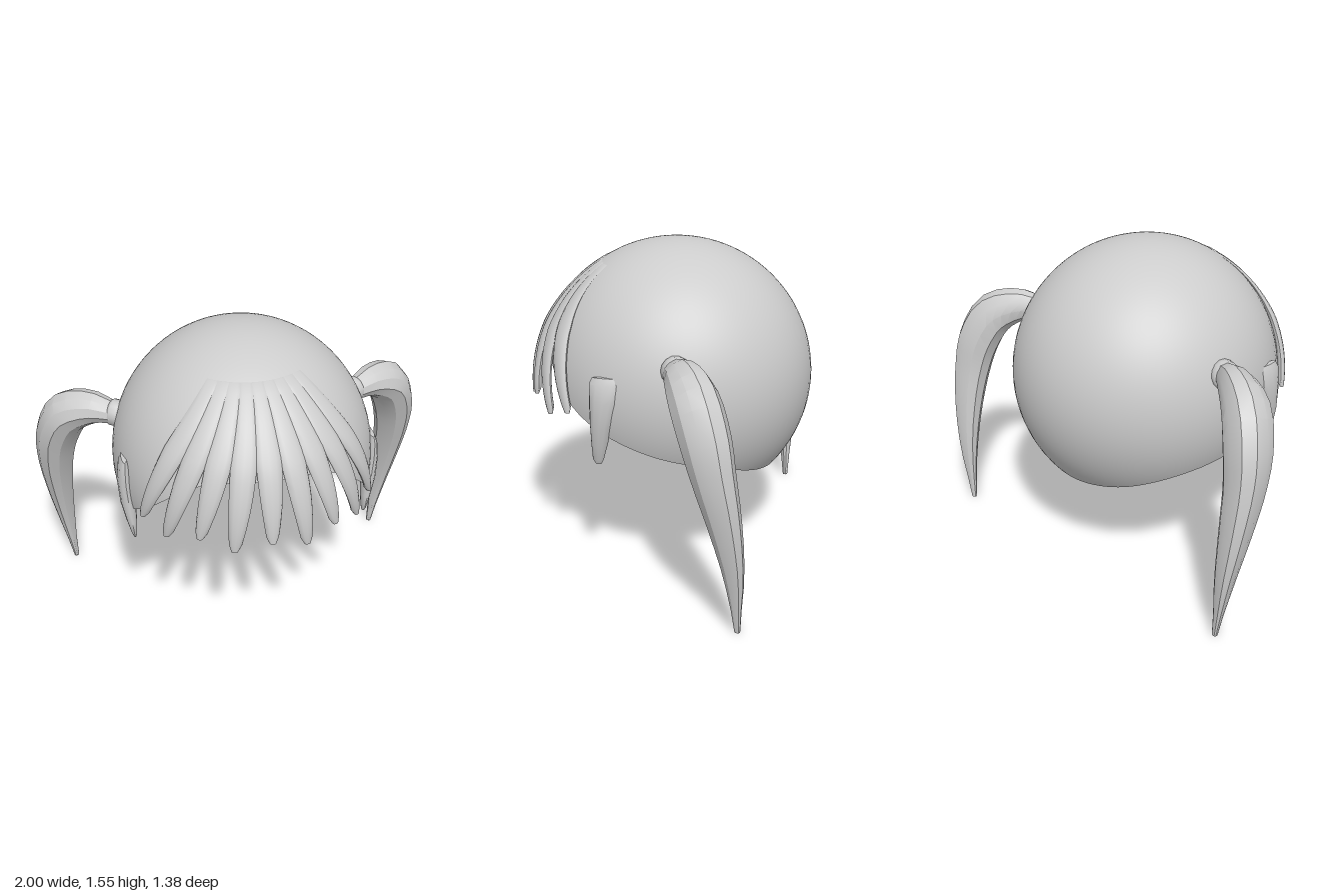
import * as THREE from 'three';
import { toCreasedNormals } from 'three/addons/utils/BufferGeometryUtils.js';

const hair = new THREE.MeshStandardMaterial({ color: 0xcccccc, side: THREE.DoubleSide });
hair.name = 'hairGrey';

const V = (x, y, z) => new THREE.Vector3(x, y, z);
const CY = 0.9, CZ = -0.025, RX = 0.632, RY = 0.65, RZ = 0.655;
const DEG = Math.PI / 180;

// Skin a list of rings, closing both ends with a fan
function loft(rings, crease) {
  const n = rings[0].length, pos = [], idx = [];
  rings.forEach(r => r.forEach(p => pos.push(p.x, p.y, p.z)));
  for (let i = 0; i < rings.length - 1; i++)
    for (let j = 0; j < n; j++) {
      const a = i * n + j, b = i * n + (j + 1) % n;
      idx.push(a, b, a + n, b, b + n, a + n);
    }
  const last = (rings.length - 1) * n;
  for (let j = 1; j < n - 1; j++) {
    idx.push(0, j + 1, j);
    idx.push(last, last + j, last + j + 1);
  }
  const g = new THREE.BufferGeometry();
  g.setAttribute('position', new THREE.Float32BufferAttribute(pos, 3));
  g.setIndex(idx);
  return toCreasedNormals(g, crease);
}

function add(parent, name, geometry) {
  const m = new THREE.Mesh(geometry, hair);
  m.name = name;
  parent.add(m);
  return m;
}

// Round cap whose lower rim rises towards the forehead
function capGeometry() {
  const rim = new THREE.SplineCurve(
    [1.1, 1.06, 0.82, 0.68, 0.6, 0.515, 0.48].map((y, i) => new THREE.Vector2(i, y)));
  const g = new THREE.SphereGeometry(1, 72, 40);
  const p = g.attributes.position, nor = g.attributes.normal;
  const cols = 73, rows = 41;
  for (let r = 0; r < rows; r++)
    for (let c = 0; c < cols; c++) {
      const i = r * cols + c, a = c / 72 * Math.PI * 2;
      const back = Math.min(a, Math.PI * 2 - a) / Math.PI;
      const th = r / 40 * Math.acos((rim.getPoint(back).y - CY) / RY);
      const x = Math.sin(th) * Math.sin(a), y = Math.cos(th), z = Math.sin(th) * Math.cos(a);
      p.setXYZ(i, x * RX, CY + y * RY, CZ + z * RZ);
      const n = V(x / RX, y / RY, z / RZ).normalize();
      nor.setXYZ(i, n.x, n.y, n.z);
    }
  // the last row is no longer a pole, so give it its missing triangles
  const idx = [];
  for (let r = 0; r < rows - 1; r++)
    for (let c = 0; c < 72; c++) {
      const a = r * cols + c, b = a + cols;
      if (r > 0) idx.push(a, b, a + 1);
      idx.push(b, b + 1, a + 1);
    }
  g.setIndex(idx);
  return g;
}

// One fringe lock, following the cap and flaring off it at the tip
function lockGeometry(i) {
  const top = 1.445, tip = i % 2 ? 0.785 : 0.83, rings = [];
  const flare = 0.045 * (1 - Math.abs(i) / 5);
  const rows = 20;
  for (let r = 0; r <= rows; r++) {
    const y = top + (tip - top) * r / rows;
    const t = (top - y) / 0.645;
    const step = 8.2 + 5.8 * t;
    const k = Math.max(0, (1.19 - y) / (1.19 - tip));
    const round = r === rows ? 0.6 : 1;
    const w = step * (k > 0 ? 0.54 * (1 - 0.73 * k) : 0.56) * round;
    const thick = (0.005 + 0.017 * Math.min(1, t * 2)) * (1 - 0.25 * k) * round;
    const out = 0.006 + 0.024 * Math.min(1, t * 2.2) + flare * t * t - thick;
    const ring = Math.sqrt(1 - ((y - CY) / RY) ** 2);
    rings.push(Array.from({ length: 12 }, (_, j) => {
      const q = j / 12 * Math.PI * 2;
      const a = (i * step + w * Math.cos(q)) * DEG;
      const o = out + thick * Math.sin(q);
      return V(Math.sin(a) * (RX * ring + o), y, CZ + Math.cos(a) * (RZ * ring + o));
    }));
  }
  return loft(rings, 0.8);
}

// Tapering lock in front of the ear: y, front z, back z, inner x, outer x
function sideburnGeometry() {
  const rows = [
    [1.03, 0.225, 0.105, 0.58, 0.605], [1.0, 0.24, 0.092, 0.57, 0.62],
    [0.92, 0.242, 0.105, 0.56, 0.632], [0.8, 0.242, 0.14, 0.552, 0.624],
    [0.7, 0.241, 0.167, 0.553, 0.602], [0.63, 0.238, 0.187, 0.558, 0.583],
    [0.607, 0.225, 0.2, 0.562, 0.574],
  ];
  return loft(rows.map(([y, zf, zb, xi, xo]) => Array.from({ length: 12 }, (_, j) => {
    const q = j / 12 * Math.PI * 2;
    return V((xi + xo) / 2 + (xo - xi) / 2 * Math.sin(q), y,
      (zf + zb) / 2 + (zf - zb) / 2 * Math.cos(q));
  })), 0.8);
}

// Drooping bunch of hair: x, y, z, radius
function bunchGeometry() {
  const pts = [
    [0.60, 1.085, -0.15, 0.055], [0.71, 1.09, -0.215, 0.085], [0.82, 1.035, -0.285, 0.108],
    [0.885, 0.9, -0.345, 0.108], [0.908, 0.75, -0.385, 0.094], [0.907, 0.55, -0.432, 0.074],
    [0.888, 0.3, -0.472, 0.046], [0.857, 0.005, -0.488, 0.013],
  ];
  const path = new THREE.CatmullRomCurve3(pts.map(p => V(p[0], p[1], p[2])));
  const radius = new THREE.SplineCurve(pts.map((p, i) => new THREE.Vector2(i, p[3])));
  const rows = 18, rings = [];
  for (let r = 0; r <= rows; r++) {
    const t = r / rows, c = path.getPoint(t), tan = path.getTangent(t);
    const u = V(0.5, 0, 0.85).cross(tan).normalize();
    const v = tan.clone().cross(u);
    const rad = radius.getPoint(t).y;
    rings.push(Array.from({ length: 11 }, (_, j) => {
      const q = j / 11 * Math.PI * 2;
      const s = rad * (1 + 0.05 * Math.cos(3 * q + 1));
      return c.clone().addScaledVector(u, s * Math.cos(q)).addScaledVector(v, s * Math.sin(q));
    }));
  }
  return loft(rings, 0.45);
}

// Rounded collar where the bunch meets the cap
function collarGeometry() {
  const prof = [[0, -0.045], [0.055, -0.045], [0.066, -0.02], [0.066, 0.015], [0.055, 0.035], [0, 0.035]];
  const g = new THREE.LatheGeometry(prof.map(p => new THREE.Vector2(p[0], p[1])), 14);
  const dir = V(0.85, 0.1, -0.45).normalize();
  g.applyQuaternion(new THREE.Quaternion().setFromUnitVectors(V(0, 1, 0), dir));
  g.translate(0.595, 1.085, -0.155);
  return g;
}

export function createModel() {
  const model = new THREE.Group();
  model.name = 'hairpiece';
  add(model, 'cap', capGeometry());

  const fringe = new THREE.Group();
  fringe.name = 'fringe';
  for (let i = -4; i <= 4; i++) add(fringe, 'fringeLock', lockGeometry(i));
  model.add(fringe);

  for (const side of [1, -1]) {
    const g = new THREE.Group();
    g.name = side > 0 ? 'leftSide' : 'rightSide';
    add(g, 'sideburn', sideburnGeometry());
    add(g, 'bunch', bunchGeometry());
    add(g, 'collar', collarGeometry());
    g.scale.x = side;
    model.add(g);
  }
  return model;
}
